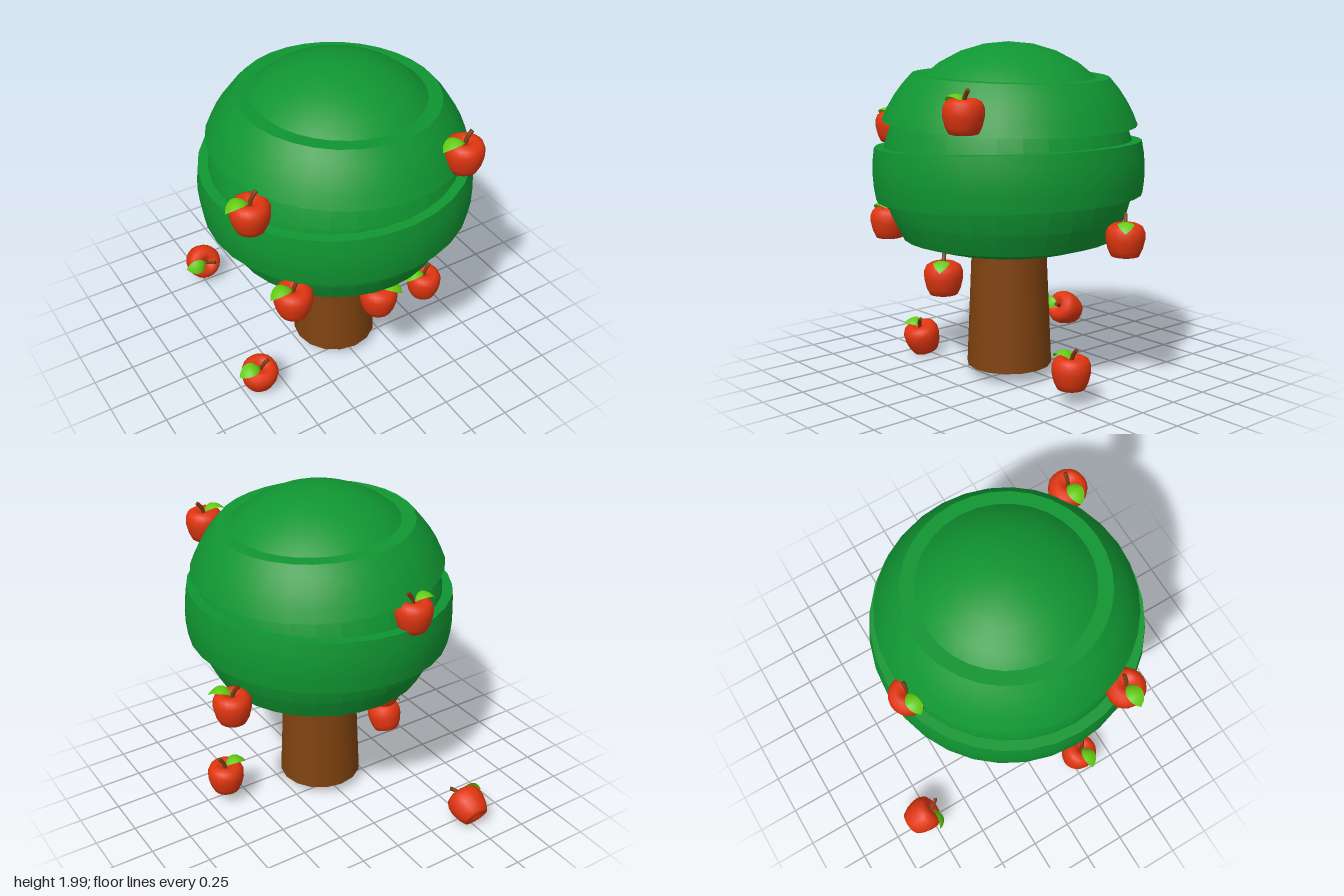
import * as THREE from 'three';
import { toCreasedNormals } from 'three/addons/utils/BufferGeometryUtils.js';

const mat = (name, color, side = THREE.FrontSide) => {
  const m = new THREE.MeshStandardMaterial({ color, side });
  m.name = name;
  return m;
};

const CENTRE_Y = 1.26, CENTRE_Z = 0.115;

export function createModel() {
  const foliage = mat('foliage green', 0x109632);
  const bark = mat('bark brown', 0x7f4210, THREE.DoubleSide);
  const appleRed = mat('apple red', 0xe03610);
  const leafGreen = mat('leaf green', 0x63cb12, THREE.DoubleSide);
  const stemBrown = mat('stem brown', 0x7a3a10);

  const model = new THREE.Group();
  model.name = 'appleTree';

  const add = (parent, name, geometry, material) => {
    const mesh = new THREE.Mesh(geometry, material);
    mesh.name = name;
    parent.add(mesh);
    return mesh;
  };
  const lathe = (pts, sides) =>
    new THREE.LatheGeometry(pts.map(([r, y]) => new THREE.Vector2(r, y)), sides);

  // points on a circle of the given radius between two heights
  const arc = (radius, y0, y1, steps) => {
    const a0 = Math.asin(y0 / radius), a1 = Math.asin(y1 / radius), pts = [];
    for (let i = 0; i <= steps; i++) {
      const a = a0 + (a1 - a0) * i / steps;
      pts.push([Math.max(0, radius * Math.cos(a)), radius * Math.sin(a)]);
    }
    return pts;
  };

  // Trunk: open tapered tube
  const trunk = add(model, 'trunk',
    new THREE.CylinderGeometry(0.22, 0.255, 0.78, 16, 1, true), bark);
  trunk.position.set(0, 0.47, CENTRE_Z);

  // Canopy: round crown with a flat chamfered underside and two tilted bands
  const canopy = new THREE.Group();
  canopy.name = 'canopy';
  canopy.position.set(0, CENTRE_Y, CENTRE_Z);
  model.add(canopy);
  const crown = [[0, -0.44], [0.47, -0.44], ...arc(0.74, -0.39, 0.74, 11)];
  add(canopy, 'crown', toCreasedNormals(lathe(crown, 32), 0.25), foliage);

  const band = (name, y0, y1, tilt) => {
    const outer = arc(0.795, y0, y1, 4);
    const inner = (y) => [Math.sqrt(0.7 * 0.7 - y * y), y];
    const geometry = toCreasedNormals(lathe([inner(y0), ...outer, inner(y1)], 32), 0.25);
    add(canopy, name, geometry, foliage).rotation.z = tilt;
  };
  band('middleBand', -0.155, 0.155, 0.04);
  band('upperBand', 0.285, 0.55, -0.036);

  // Apple body with dimples at both ends
  const bodyGeo = lathe([
    [0, -0.07], [0.035, -0.078], [0.06, -0.093], [0.08, -0.088], [0.098, -0.05],
    [0.111, 0.005], [0.111, 0.045], [0.097, 0.077], [0.07, 0.093], [0.042, 0.088],
    [0.018, 0.068], [0, 0.055],
  ], 20);

  // Curved stem
  const stemGeo = new THREE.TubeGeometry(new THREE.QuadraticBezierCurve3(
    new THREE.Vector3(0, 0.055, 0), new THREE.Vector3(0.005, 0.11, 0),
    new THREE.Vector3(0.042, 0.14, 0)), 5, 0.012, 8);
  const stemEndGeo = new THREE.CircleGeometry(0.012, 8);
  stemEndGeo.rotateY(Math.PI / 2);
  stemEndGeo.rotateZ(0.68);
  stemEndGeo.translate(0.042, 0.14, 0);

  // Arched pointed leaf, bent from a flat grid
  const leafGeo = new THREE.PlaneGeometry(1, 1, 8, 4);
  const spine = new THREE.CubicBezierCurve3(
    new THREE.Vector3(-0.005, 0.075, 0), new THREE.Vector3(-0.03, 0.125, 0),
    new THREE.Vector3(-0.1, 0.14, 0), new THREE.Vector3(-0.143, 0.06, 0));
  const pos = leafGeo.attributes.position;
  for (let i = 0; i < pos.count; i++) {
    const t = pos.getX(i) + 0.5, v = pos.getY(i) * 2;
    const p = spine.getPoint(t);
    const half = 0.047 * Math.pow(Math.sin(Math.PI * Math.pow(t, 1.15)), 0.75) || 0;
    pos.setXYZ(i, p.x, p.y - 0.012 * v * v * Math.sin(Math.PI * t), v * half);
  }
  // the spine runs toward -x, so mirror the winding to face the leaf upward
  const idx = leafGeo.index;
  for (let i = 0; i < idx.count; i += 3) {
    const a = idx.getX(i);
    idx.setX(i, idx.getX(i + 1));
    idx.setX(i + 1, a);
  }
  // keep the leaf's front side up
  leafGeo.computeVertexNormals();
  if (leafGeo.attributes.normal.getY(22) < 0) {
    for (let i = 0; i < idx.count; i += 3) {
      const a = idx.getX(i);
      idx.setX(i, idx.getX(i + 1));
      idx.setX(i + 1, a);
    }
    leafGeo.computeVertexNormals();
  }

  // Apples: position, turn about y, tilt about x
  const TURN = Math.PI * 0.75;
  const apples = [
    ['upperFrontApple', 0.407, 1.635, 0.758, 0, 0],
    ['upperRightApple', -0.72, 1.47, 0.435, 0, 0],
    ['upperBackApple', -0.15, 1.47, -0.605, 0, 0],
    ['lowerRightApple', -0.56, 0.915, 0.59, 0, 0],
    ['lowerLeftApple', 0.73, 0.915, -0.12, TURN, 0],
    ['hangingFrontApple', 0, 0.675, 0.6, TURN, 0],
    ['hangingBackApple', -0.323, 0.675, -0.117, 0, 0],
    ['fallingLeftApple', 0.64, 0.19, 0.2, 0, 0],
    ['fallenRightApple', -0.645, 0.118, 0.3, 0, 0.3],
    ['fallenBackApple', -0.485, 0.14, -0.8, 0, 1.12],
  ];
  for (const [name, x, y, z, turn, tilt] of apples) {
    const apple = new THREE.Group();
    apple.name = name;
    apple.position.set(x, y, z);
    apple.rotation.set(tilt, turn, 0);
    add(apple, 'appleBody', bodyGeo, appleRed);
    add(apple, 'stem', stemGeo, stemBrown);
    add(apple, 'stemEnd', stemEndGeo, stemBrown);
    add(apple, 'leaf', leafGeo, leafGreen);
    model.add(apple);
  }
  return model;
}
